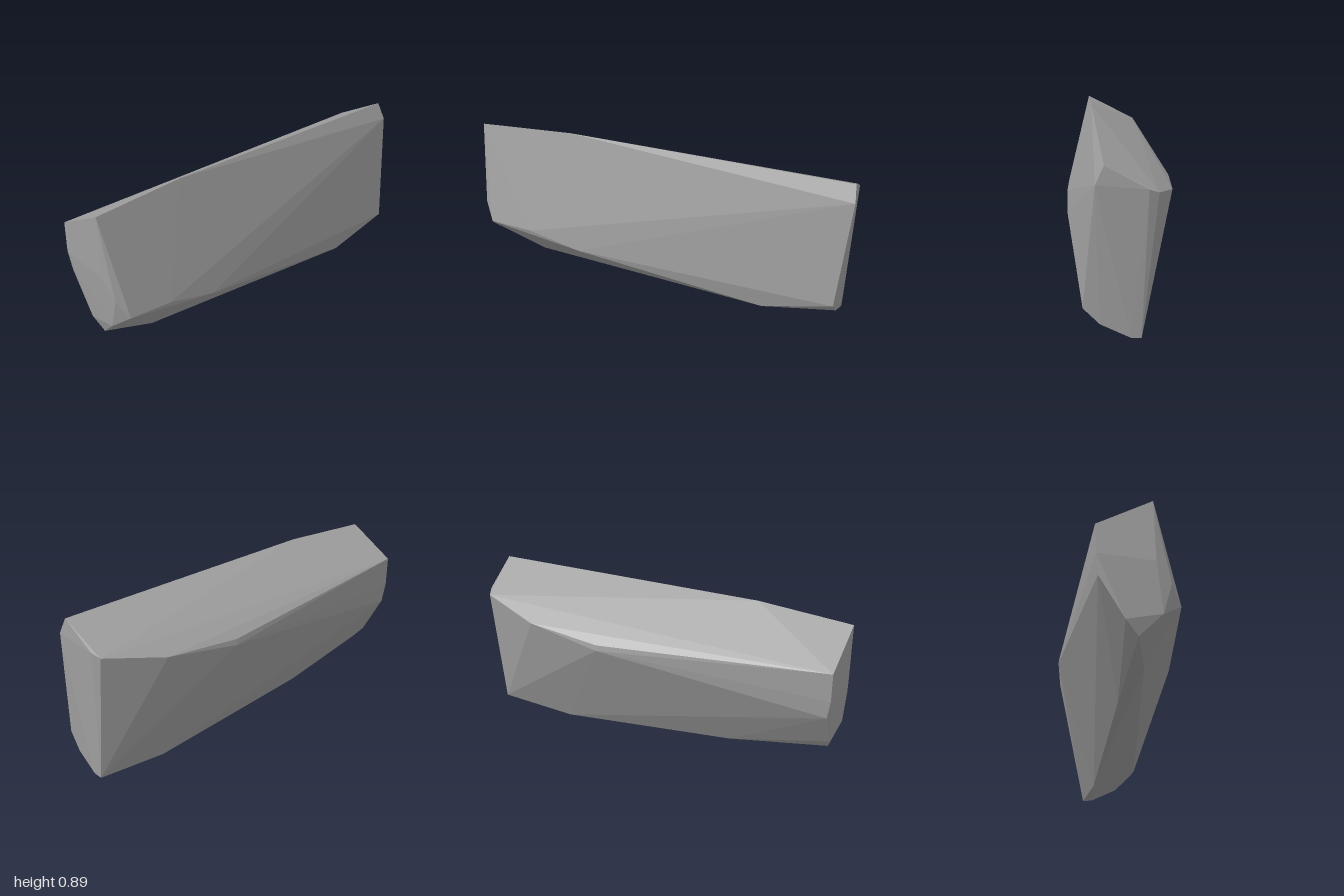
import * as THREE from 'three';
import { ConvexGeometry } from 'three/addons/geometries/ConvexGeometry.js';

// Corner points of the stone, from the front end to the back end
const frontEnd = [
  [-0.14, 0.735, 1], [0.13, 0.873, 1], [-0.135, 0.58, 1], [0.14, 0.55, 1],
  [-0.125, 0.475, 0.985], [0.21, 0.445, 0.98], [0.257, 0.355, 0.93],
  [0.17, 0.29, 0.98], [0, 0.26, 0.975], [0.06, 0.19, 0.95],
];
const middle = [
  [0.12, 0.895, 0.5], [0.265, 0.345, 0.7], [0.262, 0.275, 0.42],
  [0.11, 0.145, 0.7], [0.01, 0.1, 0.42],
  [-0.265, 0.64, -0.23], [-0.27, 0.61, -0.23], [-0.25, 0.662, -0.64],
  [0.18, 0.1, -0.58], [-0.05, 0, -0.55],
];
const backEnd = [
  [0.08, 0.85, -0.99], [0.12, 0.765, -1], [-0.165, 0.722, -0.96], [-0.12, 0.74, -0.98],
  [-0.13, 0.5, -0.963], [0.177, 0.185, -0.95], [0.1, 0.11, -0.955],
  [-0.04, 0.045, -0.96], [-0.09, 0.04, -0.955],
];

export function createModel() {
  const stone = new THREE.MeshStandardMaterial({ color: 0xa0a0a0 });
  stone.name = 'stone grey';

  // One faceted slab wrapped tightly around all the corners
  const points = [...frontEnd, ...middle, ...backEnd].map((p) => new THREE.Vector3(...p));
  const slab = new THREE.Mesh(new ConvexGeometry(points), stone);
  slab.name = 'stoneSlab';

  const group = new THREE.Group();
  group.name = 'rock';
  group.add(slab);
  return group;
}
